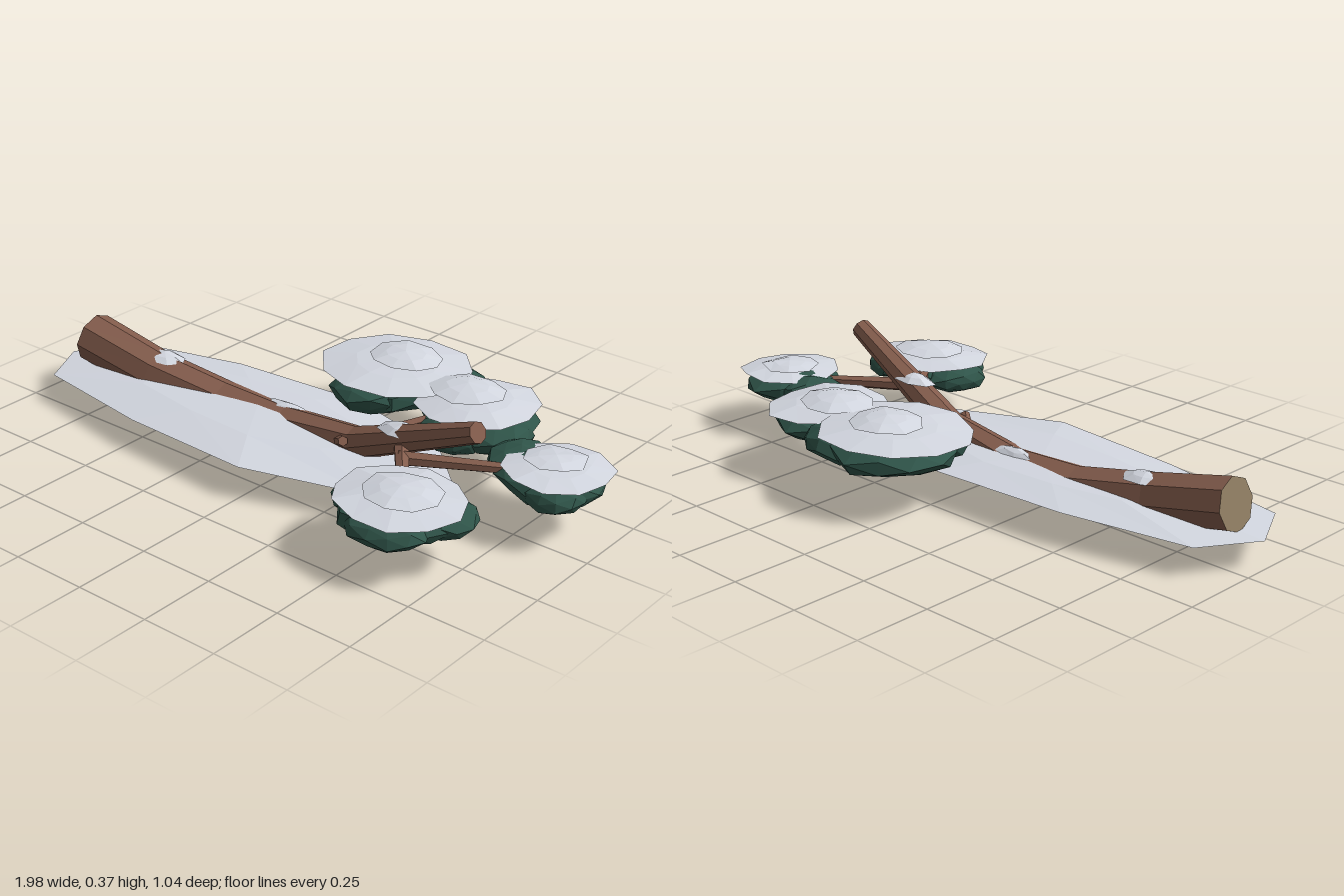
import * as THREE from 'three';

const mat = (name, color, side = THREE.FrontSide) => {
  const m = new THREE.MeshStandardMaterial({ color, side });
  m.name = name;
  return m;
};
const bark = mat('bark', 0x835c4c);
const cutWood = mat('cutWood', 0x8f7d62);
const needles = mat('needles', 0x2f5449);
const snow = mat('snow', 0xd3d7e0, THREE.DoubleSide);

// repeatable value in 0..1
const hash = (a, b = 0, c = 0) => {
  const s = Math.sin(a * 127.1 + b * 311.7 + c * 74.7) * 43758.5453;
  return s - Math.floor(s);
};

const facet = (points, index) => {
  const g = new THREE.BufferGeometry().setFromPoints(points);
  g.setIndex(index);
  const flat = g.toNonIndexed();
  flat.computeVertexNormals();
  return flat;
};

const add = (group, name, geometry, material) => {
  const m = new THREE.Mesh(geometry, material);
  m.name = name;
  group.add(m);
  return m;
};

// tapered limb through [x, y, z, radius] stations, with both end discs
function limb(group, name, stations, sides, startMaterial = bark) {
  const centres = stations.map(s => new THREE.Vector3(s[0], s[1], s[2]));
  const points = [], index = [], n = stations.length;
  stations.forEach((s, i) => {
    const t = centres[Math.min(i + 1, n - 1)].clone().sub(centres[Math.max(i - 1, 0)]).normalize();
    const across = new THREE.Vector3().crossVectors(t, new THREE.Vector3(0, 1, 0)).normalize();
    const up = new THREE.Vector3().crossVectors(across, t);
    for (let j = 0; j < sides; j++) {
      const a = j / sides * Math.PI * 2;
      points.push(centres[i].clone()
        .addScaledVector(up, Math.cos(a) * s[3])
        .addScaledVector(across, Math.sin(a) * s[3]));
    }
  });
  for (let i = 0; i < n - 1; i++) {
    for (let j = 0; j < sides; j++) {
      const k = (j + 1) % sides, a = i * sides, b = a + sides;
      index.push(a + j, a + k, b + j, a + k, b + k, b + j);
    }
  }
  const last = (n - 1) * sides, start = [];
  for (let j = 1; j < sides - 1; j++) {
    index.push(last, last + j, last + j + 1);
    start.push(0, j + 1, j);
  }
  add(group, name, facet(points, index), bark);
  add(group, name + 'End', facet(points, start), startMaterial);
}

// shallow snow dome: an outline drawn in towards a raised centre
function dome(group, name, outline, centre, rise = 0.65) {
  const points = [], index = [], n = outline.length;
  const c = new THREE.Vector3(...centre);
  outline.forEach(p => points.push(new THREE.Vector3(...p)));
  outline.forEach(p => {
    const q = new THREE.Vector3(...p).lerp(c, 0.45);
    q.y = p[1] + (c.y - p[1]) * rise;
    points.push(q);
  });
  points.push(c);
  for (let j = 0; j < n; j++) {
    const k = (j + 1) % n;
    index.push(j, n + k, k, j, n + j, n + k, n + j, 2 * n, n + k);
  }
  add(group, name, facet(points, index), snow);
}

// irregular round patch of snow
function patch(group, name, x, y, z, rx, rz, height, sides, seed) {
  const outline = [];
  for (let j = 0; j < sides; j++) {
    const a = j / sides * Math.PI * 2;
    const r = 0.92 + 0.13 * hash(j, seed);
    outline.push([x + Math.cos(a) * rx * r, y + (hash(seed, j) - 0.5) * 0.012, z + Math.sin(a) * rz * r]);
  }
  dome(group, name, outline, [x, y + height, z]);
}

// faceted, flattened clump of needles
function clump(group, x, y, z, rx, ry, rz, seed) {
  const g = new THREE.IcosahedronGeometry(1, 1);
  const p = g.attributes.position, v = new THREE.Vector3();
  for (let i = 0; i < p.count; i++) {
    v.fromBufferAttribute(p, i);
    const r = 0.9 + 0.17 * hash(Math.round(v.x * 50) + seed, Math.round(v.y * 50), Math.round(v.z * 50));
    p.setXYZ(i, v.x * r * rx, v.y * r * ry, v.z * r * rz);
  }
  g.computeVertexNormals();
  add(group, 'needleClump', g, needles).position.set(x, y, z);
}

export function createModel() {
  const model = new THREE.Group();
  model.name = 'fallenSnowyTree';

  // half-buried trunk, bent up at the tip
  limb(model, 'trunk', [
    [-0.9, 0.175, 0.065, 0.083], [-0.62, 0.118, 0.05, 0.078], [-0.36, 0.078, 0.015, 0.075],
    [-0.1, 0.08, 0.01, 0.065], [0.2, 0.13, 0.03, 0.052], [0.67, 0.34, 0.085, 0.033],
  ], 8, cutWood);

  // branches
  limb(model, 'backBranch', [[0.2, 0.14, 0.05, 0.026], [0.36, 0.19, -0.18, 0.018]], 6);
  limb(model, 'frontBranch', [[0.37, 0.2, 0.04, 0.026], [0.56, 0.175, 0.28, 0.018]], 6);
  limb(model, 'tipBranch', [[0.42, 0.19, 0.12, 0.024], [0.74, 0.18, -0.07, 0.016]], 6);
  limb(model, 'brokenStub', [[0.1, 0.1, 0.02, 0.022], [0.19, 0.155, 0.09, 0.016]], 6);

  // snow bank around the trunk
  dome(model, 'snowBank', [
    [-1, 0.092, 0.07], [-0.89, 0.095, -0.11], [-0.48, 0.105, -0.2], [0, 0.108, -0.23],
    [0.38, 0.1, -0.14], [0.55, 0.1, 0.02], [0.4, 0.092, 0.21], [0, 0.108, 0.35],
    [-0.47, 0.1, 0.32], [-0.91, 0.095, 0.245],
  ], [-0.2, 0.136, 0.03], 0.75);

  // snow lying on the trunk
  patch(model, 'trunkSnow', -0.6, 0.175, 0.035, 0.08, 0.055, 0.022, 7, 3);
  patch(model, 'trunkSnow', -0.12, 0.13, -0.005, 0.1, 0.036, 0.022, 7, 5);
  patch(model, 'trunkSnow', 0.38, 0.232, 0.05, 0.085, 0.048, 0.028, 7, 8);

  // foliage: clumps [x, y, z, rx, ry, rz], snow sheets [x, y, z, rx, rz, height, sides]
  const foliage = [
    { name: 'largeFoliage',
      clumps: [[0.09, 0.183, -0.31, 0.2, 0.068, 0.2], [0.07, 0.182, -0.2, 0.14, 0.058, 0.12], [0.24, 0.18, -0.38, 0.13, 0.06, 0.11]],
      sheets: [[0.1, 0.235, -0.3, 0.26, 0.225, 0.026, 11], [0.11, 0.263, -0.32, 0.125, 0.11, 0.021, 9]] },
    { name: 'middleFoliage',
      clumps: [[0.43, 0.175, -0.27, 0.18, 0.066, 0.17], [0.42, 0.165, -0.15, 0.12, 0.055, 0.1], [0.53, 0.17, -0.22, 0.11, 0.055, 0.12]],
      sheets: [[0.43, 0.222, -0.27, 0.19, 0.195, 0.026, 10], [0.38, 0.248, -0.28, 0.125, 0.11, 0.024, 9]] },
    { name: 'tipFoliage',
      clumps: [[0.81, 0.167, -0.1, 0.165, 0.056, 0.155], [0.68, 0.165, -0.13, 0.1, 0.055, 0.1], [0.86, 0.163, -0.04, 0.1, 0.048, 0.1]],
      sheets: [[0.825, 0.207, -0.1, 0.167, 0.165, 0.018, 10], [0.81, 0.226, -0.11, 0.095, 0.09, 0.014, 8]] },
    { name: 'frontFoliage',
      clumps: [[0.58, 0.167, 0.33, 0.19, 0.057, 0.17], [0.61, 0.165, 0.42, 0.13, 0.052, 0.1], [0.7, 0.165, 0.28, 0.1, 0.05, 0.1], [0.46, 0.165, 0.31, 0.1, 0.05, 0.11]],
      sheets: [[0.58, 0.206, 0.325, 0.21, 0.185, 0.022, 11], [0.59, 0.228, 0.33, 0.125, 0.11, 0.02, 9]] },
  ];
  foliage.forEach(({ name, clumps, sheets }, f) => {
    const group = new THREE.Group();
    group.name = name;
    clumps.forEach((c, i) => clump(group, ...c, f * 7 + i * 3));
    sheets.forEach((s, i) => patch(group, 'foliageSnow', ...s, f * 5 + i * 11 + 2));
    model.add(group);
  });
  return model;
}
